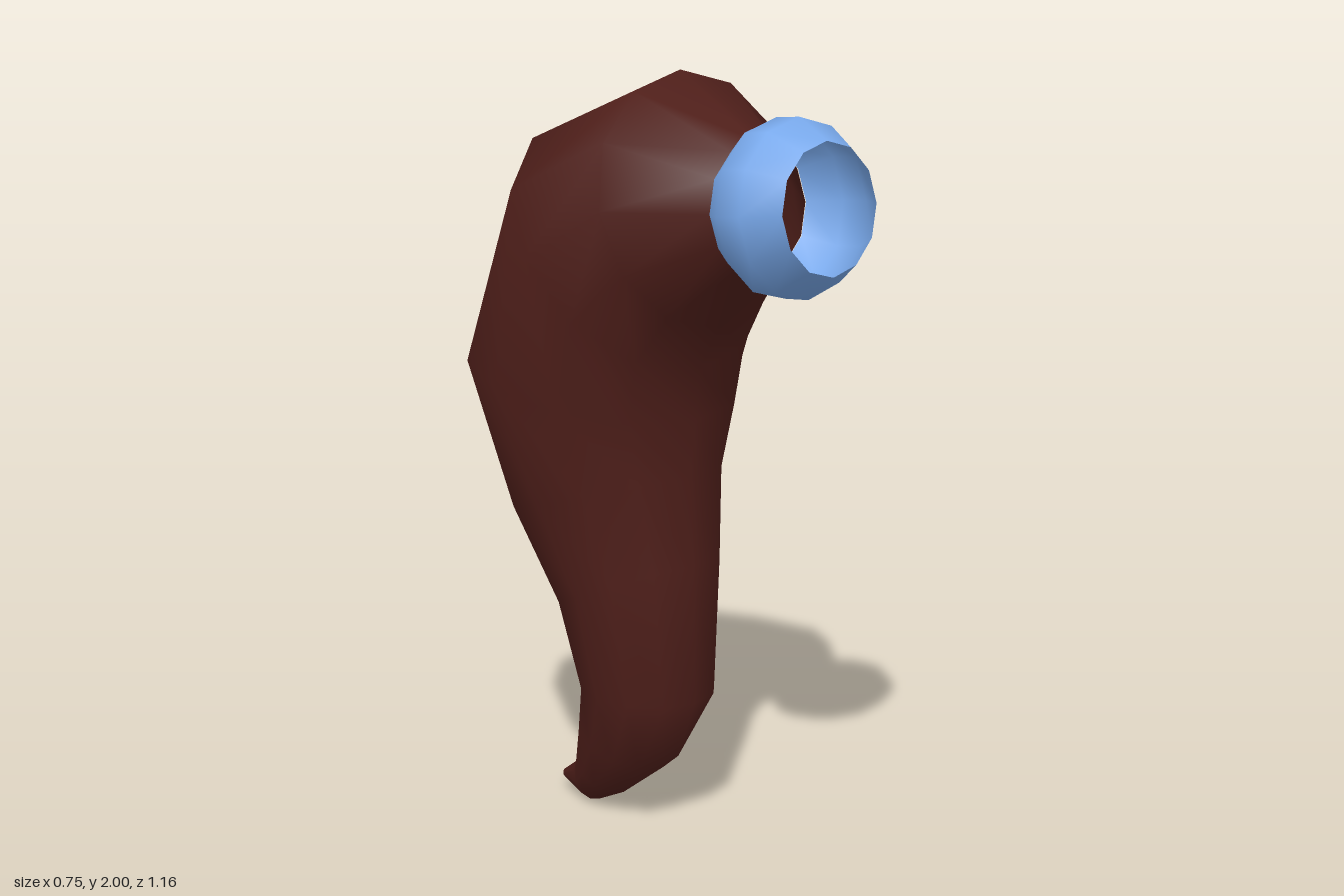
import * as THREE from 'three';

const SIDES = 12;

// Skin elliptical rings. Each ring: [outerZ, outerY, innerZ, innerY, halfWidth]
function loft(name, rings, color, capEnd) {
  const pos = [], index = [];
  for (const [oz, oy, iz, iy, w] of rings) {
    for (let j = 0; j < SIDES; j++) {
      const a = (j / SIDES) * Math.PI * 2, c = Math.cos(a) / 2;
      pos.push(w * Math.sin(a), (oy + iy) / 2 + (oy - iy) * c, (oz + iz) / 2 + (oz - iz) * c);
    }
  }
  for (let i = 0; i < rings.length - 1; i++) {
    for (let j = 0; j < SIDES; j++) {
      const a = i * SIDES + j, b = i * SIDES + (j + 1) % SIDES;
      index.push(a, b, a + SIDES, b, b + SIDES, a + SIDES);
    }
  }
  if (capEnd) {
    const s = (rings.length - 1) * SIDES;
    for (let j = 1; j < SIDES - 1; j++) index.push(s, s + j, s + j + 1);
  }
  const geo = new THREE.BufferGeometry();
  geo.setAttribute('position', new THREE.Float32BufferAttribute(pos, 3));
  geo.setIndex(index);
  geo.computeVertexNormals();
  const mesh = new THREE.Mesh(geo, new THREE.MeshStandardMaterial({ color, side: THREE.DoubleSide }));
  mesh.name = name;
  return mesh;
}

export function createModel() {
  const group = new THREE.Group();
  group.name = 'curvedHorn';

  // Horn body, from the open mouth round the bend down to the curled tip
  group.add(loft('hornBody', [
    [0.32, 1.85, 0.35, 1.53, 0.16],
    [0.06, 2.0, 0.20, 1.38, 0.325],
    [-0.31, 1.86, 0.13, 1.26, 0.375],
    [-0.58, 1.29, 0.12, 1.13, 0.36],
    [-0.45, 0.83, 0.10, 0.98, 0.28],
    [-0.30, 0.58, 0.115, 0.75, 0.22],
    [-0.24, 0.39, 0.12, 0.38, 0.18],
    [-0.27, 0.27, 0.0, 0.17, 0.14],
    [-0.30, 0.16, -0.16, 0.05, 0.09],
    [-0.32, 0.11, -0.26, 0.0, 0.06],
    [-0.40, 0.05, -0.39, 0.025, 0.015],
  ], 0x4f1f1a, true));

  // Open bulging collar on the mouth, tilted slightly upwards: [distance along axis, radius]
  const tilt = 0.09, cy = Math.cos(tilt), sy = Math.sin(tilt);
  const collar = [[0.235, 0.158], [0.15, 0.214], [0.075, 0.214], [0, 0.162]].map(([s, r]) => {
    const z = 0.335 + s * cy, y = 1.69 + s * sy;
    return [z - r * sy, y + r * cy, z + r * sy, y - r * cy, r];
  });
  group.add(loft('mouthCollar', collar, 0x78a8ea, false));

  return group;
}
